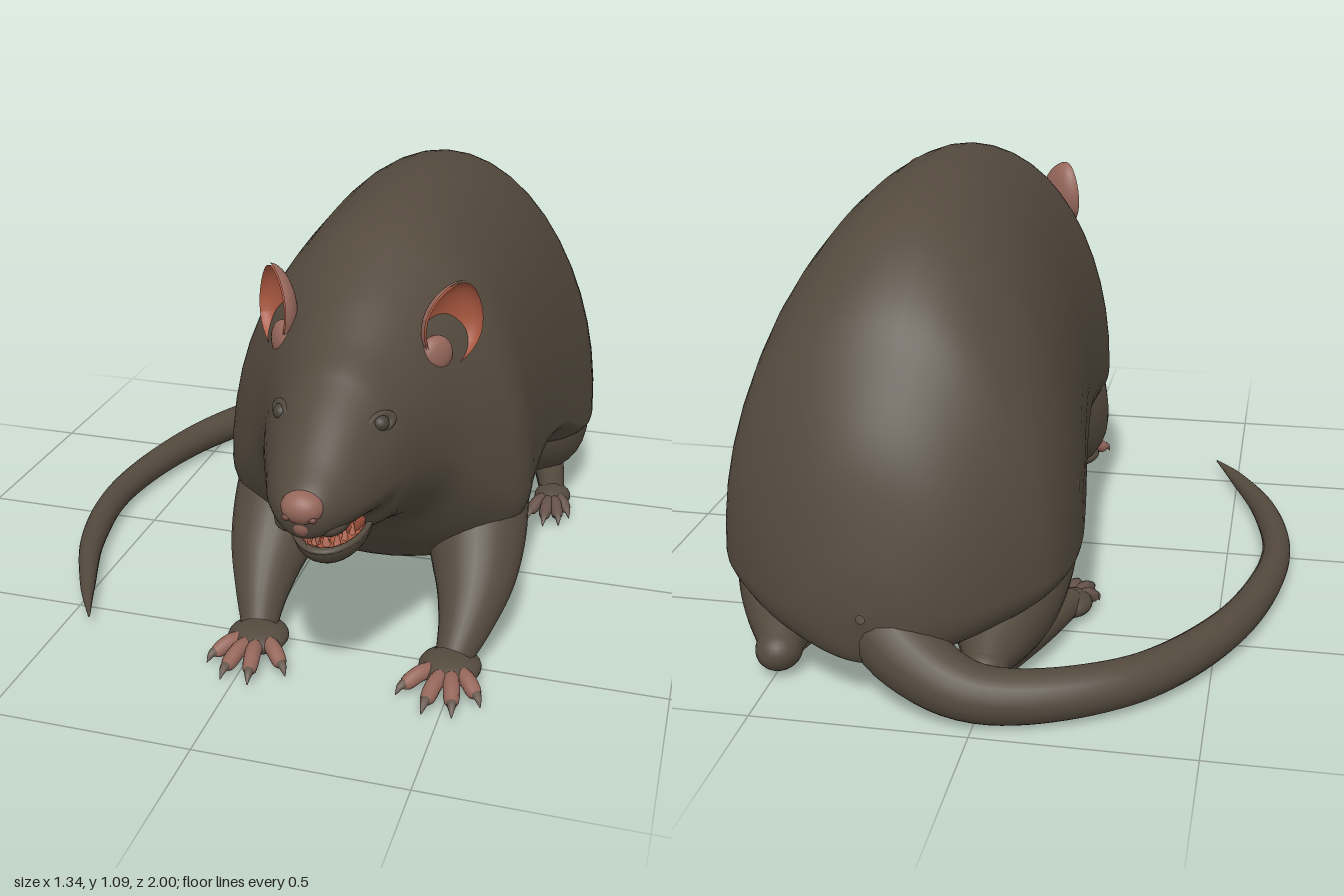
import * as THREE from 'three';

const mat = (name, color, side = THREE.FrontSide) => {
  const m = new THREE.MeshStandardMaterial({ color, side });
  m.name = name;
  return m;
};
const V = (x, y, z) => new THREE.Vector3(x, y, z);

// Body cross-sections: z, top y, bottom y, half width, y of the widest point
const BODY = [
  [-0.945, 0.25, 0.23, 0.01, 0.24], [-0.93, 0.37, 0.13, 0.12, 0.24], [-0.88, 0.57, 0.11, 0.23, 0.24],
  [-0.8, 0.73, 0.11, 0.325, 0.25], [-0.7, 0.88, 0.12, 0.4, 0.26], [-0.55, 1.0, 0.14, 0.425, 0.26],
  [-0.4, 1.06, 0.18, 0.415, 0.29], [-0.2, 1.09, 0.28, 0.39, 0.38], [0, 1.095, 0.285, 0.372, 0.42],
  [0.2, 1.08, 0.22, 0.37, 0.42], [0.35, 1.045, 0.2, 0.372, 0.42], [0.45, 1.0, 0.28, 0.315, 0.48],
  [0.55, 0.945, 0.39, 0.24, 0.58], [0.65, 0.88, 0.43, 0.19, 0.61], [0.72, 0.84, 0.45, 0.165, 0.61],
  [0.76, 0.81, 0.5, 0.15, 0.61], [0.82, 0.765, 0.525, 0.127, 0.6], [0.9, 0.7, 0.535, 0.095, 0.6],
  [0.96, 0.655, 0.55, 0.055, 0.605], [0.985, 0.61, 0.6, 0.006, 0.605],
];

// Smooth skin over the body cross-sections
function bodyGeometry(rows = 110, cols = 48) {
  const a = new THREE.CatmullRomCurve3(BODY.map(s => V(s[0], s[1], s[2])), false, 'catmullrom', 0.5);
  const b = new THREE.CatmullRomCurve3(BODY.map(s => V(s[3], s[4], 0)), false, 'catmullrom', 0.5);
  const pos = [], idx = [];
  for (let i = 0; i <= rows; i++) {
    const p = a.getPoint(i / rows), q = b.getPoint(i / rows);
    for (let j = 0; j < cols; j++) {
      const t = j / cols * Math.PI * 2, sn = Math.sin(t);
      pos.push(q.x * Math.cos(t), q.y + sn * (sn > 0 ? p.y - q.y : q.y - p.z), p.x);
      if (i === rows) continue;
      const k = i * cols + j, n = i * cols + (j + 1) % cols;
      idx.push(k, n, k + cols, n, n + cols, k + cols);
    }
  }
  const g = new THREE.BufferGeometry();
  g.setAttribute('position', new THREE.Float32BufferAttribute(pos, 3));
  g.setIndex(idx);
  g.computeVertexNormals();
  return g;
}

// Tube whose radius follows the fourth number of each [x, y, z, r] point
function taper(points, segs = 24, sides = 20) {
  const curve = new THREE.CatmullRomCurve3(points.map(p => V(p[0], p[1], p[2])));
  const radii = new THREE.CatmullRomCurve3(points.map((p, i) => V(i, p[3], 0)), false, 'catmullrom', 0.5);
  const g = new THREE.TubeGeometry(curve, segs, 1, sides);
  const pos = g.attributes.position, v = V(0, 0, 0);
  for (let i = 0; i < pos.count; i++) {
    const u = Math.floor(i / (sides + 1)) / segs;
    const c = curve.getPointAt(u), r = Math.max(0.001, radii.getPoint(curve.getUtoTmapping(u)).y);
    v.fromBufferAttribute(pos, i).sub(c).multiplyScalar(r).add(c);
    pos.setXYZ(i, v.x, v.y, v.z);
  }
  return g;
}

export function createModel() {
  const fur = mat('fur', 0x544a3e);
  const pink = mat('pink skin', 0x96675b);
  const flesh = mat('flesh', 0xa8573f, THREE.DoubleSide);
  const hindSkin = mat('hind toe skin', 0x65524a);
  const claw = mat('claw', 0x6a5b51);
  const eyeMat = mat('eye', 0x48423a);
  const tooth = mat('tooth', 0xb8705a);
  const dark = mat('nostril', 0x6a443b);

  const model = new THREE.Group();
  const rat = new THREE.Group();
  rat.name = 'rat';
  rat.position.x = 0.25;
  model.add(rat);

  const add = (name, geo, m, parent = rat) => {
    const mesh = new THREE.Mesh(geo, m);
    mesh.name = name;
    parent.add(mesh);
    return mesh;
  };
  const ball = (name, m, x, y, z, rx, ry, rz, parent = rat) => {
    const mesh = add(name, new THREE.SphereGeometry(1, 24, 16), m, parent);
    mesh.position.set(x, y, z);
    mesh.scale.set(rx, ry, rz);
    return mesh;
  };

  add('body', bodyGeometry(), fur);

  // Tail curling round the right side along the ground
  add('tail', taper([
    [0.02, 0.24, -0.8, 0.11], [-0.09, 0.14, -0.89, 0.088], [-0.25, 0.078, -0.932, 0.066],
    [-0.55, 0.068, -0.825, 0.055], [-0.77, 0.06, -0.53, 0.047], [-0.88, 0.05, -0.1, 0.038],
    [-0.845, 0.045, 0.2, 0.034], [-0.75, 0.04, 0.45, 0.02], [-0.682, 0.035, 0.59, 0.002],
  ], 80), fur);

  // Toes fan from the paw, each ending in a hooked claw: [end x, end z]
  const toes = (name, skin, s, x, z, ends, r) => ends.forEach(([ex, ez]) => {
    const dx = (ex - x) * s, dz = ez - z;
    const at = (t, y, rad) => [x * s + dx * t, y, z + dz * t, rad];
    add(name + 'Toe', taper([at(0.2, 0.04, r), at(0.55, 0.048, r), at(0.8, 0.035, r * 0.9), at(0.88, 0.03, r * 0.4)], 10, 12), skin);
    add(name + 'Claw', taper([at(0.78, 0.036, r * 0.7), at(0.9, 0.034, r * 0.5), at(1, 0.014, 0.001)], 8, 10), claw);
  });

  for (const s of [-1, 1]) {
    // Front leg and paw
    add('frontLeg', taper([
      [0.08 * s, 0.56, 0.2, 0.08], [0.185 * s, 0.43, 0.26, 0.17], [0.242 * s, 0.31, 0.32, 0.132],
      [0.262 * s, 0.2, 0.4, 0.1], [0.258 * s, 0.12, 0.475, 0.068], [0.245 * s, 0.06, 0.54, 0.045],
    ], 36, 28), fur);
    ball('frontPaw', fur, 0.24 * s, 0.044, 0.56, 0.075, 0.032, 0.078);
    toes('front', pink, s, 0.24, 0.55, [[0.335, 0.67], [0.28, 0.73], [0.21, 0.735], [0.135, 0.675]], 0.02);

    // Hind leg, heel and long foot; the right foot is turned out a little more
    const out = s < 0 ? 0.045 : 0;
    add('hindLeg', taper([
      [0.08 * s, 0.52, -0.52, 0.1], [0.2 * s, 0.4, -0.52, 0.21], [0.25 * s, 0.27, -0.53, 0.17],
      [0.26 * s, 0.16, -0.64, 0.135], [0.25 * s, 0.1, -0.74, 0.09], [0.245 * s, 0.07, -0.8, 0.05],
    ], 36, 28), fur);
    ball('heel', fur, 0.245 * s, 0.066, -0.8, 0.055, 0.05, 0.06);
    add('hindFoot', taper([
      [0.245 * s, 0.064, -0.8, 0.048], [(0.3 + out / 2) * s, 0.06, -0.6, 0.046], [(0.34 + out) * s, 0.048, -0.42, 0.034],
    ]), fur);
    ball('hindPaw', fur, (0.34 + out) * s, 0.044, -0.42, 0.052, 0.03, 0.06);
    const hindEnds = [[0.4, -0.34], [0.378, -0.285], [0.335, -0.27], [0.285, -0.3]];
    toes('hind', hindSkin, s, 0.335 + out, -0.43, hindEnds.map(([x, z]) => [x + out, z]), 0.018);

    // Cupped, pointed ear, narrow at the base
    const ear = new THREE.Group();
    ear.name = 'ear';
    ear.position.set(0.212 * s, 0.875, 0.505);
    ear.rotation.set(-0.05, 0.9 * s, -0.38 * s, 'YXZ');
    rat.add(ear);
    const cup = (k) => {
      const g = new THREE.SphereGeometry(1, 32, 14, 0, Math.PI * 2, 0, Math.PI / 2);
      g.rotateX(-Math.PI / 2);
      const p = g.attributes.position;
      for (let i = 0; i < p.count; i++) {
        const y = p.getY(i);
        p.setX(i, p.getX(i) * (1 - 0.22 * y * y - (y < 0 ? 0.2 * y * y : 0)));
      }
      g.scale(0.086 * k, 0.108 * k, 0.052 * k);
      g.computeVertexNormals();
      return g;
    };
    add('earBack', cup(1), pink, ear);
    add('earInside', cup(0.95), flesh, ear).position.z = 0.002;
    ball('earFold', pink, -0.02 * s, -0.07, -0.012, 0.045, 0.045, 0.025, ear);

    // Eye with a soft lid ring
    ball('eye', eyeMat, 0.109 * s, 0.737, 0.757, 0.02, 0.018, 0.02);
    const lid = add('eyelid', new THREE.TorusGeometry(0.02, 0.008, 10, 24), fur);
    lid.position.set(0.11 * s, 0.738, 0.757);
    lid.rotation.set(-0.3, 0.85 * s, 0.15 * s, 'YXZ');
    lid.scale.set(1.5, 0.85, 1);

    // Upper lip and nostril
    ball('upperLip', fur, 0.042 * s, 0.565, 0.88, 0.04, 0.03, 0.07);
    ball('nostril', dark, 0.028 * s, 0.606, 0.984, 0.01, 0.007, 0.008);
  }

  // Nose pad
  ball('nose', pink, 0, 0.622, 0.96, 0.046, 0.036, 0.038);
  ball('noseGroove', pink, 0, 0.585, 0.955, 0.026, 0.03, 0.026);

  // Open mouth: palate, throat, lower jaw and tongue
  ball('palate', flesh, 0, 0.537, 0.82, 0.068, 0.02, 0.1);
  ball('throat', flesh, 0, 0.505, 0.745, 0.078, 0.06, 0.05);
  const jaw = new THREE.Group();
  jaw.name = 'lowerJaw';
  jaw.position.set(0, 0.485, 0.73);
  jaw.rotation.x = 0.17;
  rat.add(jaw);
  const bowl = new THREE.SphereGeometry(1, 28, 12, 0, Math.PI * 2, Math.PI / 2, Math.PI / 2);
  add('jawSkin', bowl.scale(0.088, 0.08, 0.13), fur, jaw);
  const rim = add('jawLip', new THREE.TorusGeometry(1, 0.08, 10, 32).rotateX(Math.PI / 2), fur, jaw);
  rim.scale.set(0.083, 0.09, 0.124);
  const floor = add('mouthFloor', new THREE.CircleGeometry(1, 28).rotateX(-Math.PI / 2), flesh, jaw);
  floor.scale.set(0.082, 1, 0.122);
  ball('tongue', flesh, 0, 0.022, 0.015, 0.045, 0.03, 0.085, jaw);

  // Teeth: long incisors in front, small points along the sides
  const fang = (x, y, z, len, r) => {
    const t = add(len > 0 ? 'lowerTooth' : 'upperTooth', new THREE.ConeGeometry(r, Math.abs(len), 10), tooth);
    t.position.set(x, y + len / 2, z);
    if (len < 0) t.rotation.x = Math.PI;
  };
  for (const s of [-1, 1]) {
    fang(0.012 * s, 0.54, 0.895, -0.045, 0.011);
    fang(0.012 * s, 0.455, 0.825, 0.085, 0.012);
    for (let i = 0; i < 4; i++) {
      fang((0.035 + i * 0.01) * s, 0.54, 0.885 - i * 0.03, -0.034, 0.009);
      fang((0.034 + i * 0.011) * s, 0.46, 0.82 - i * 0.022, 0.055, 0.01);
    }
  }
  return model;
}
